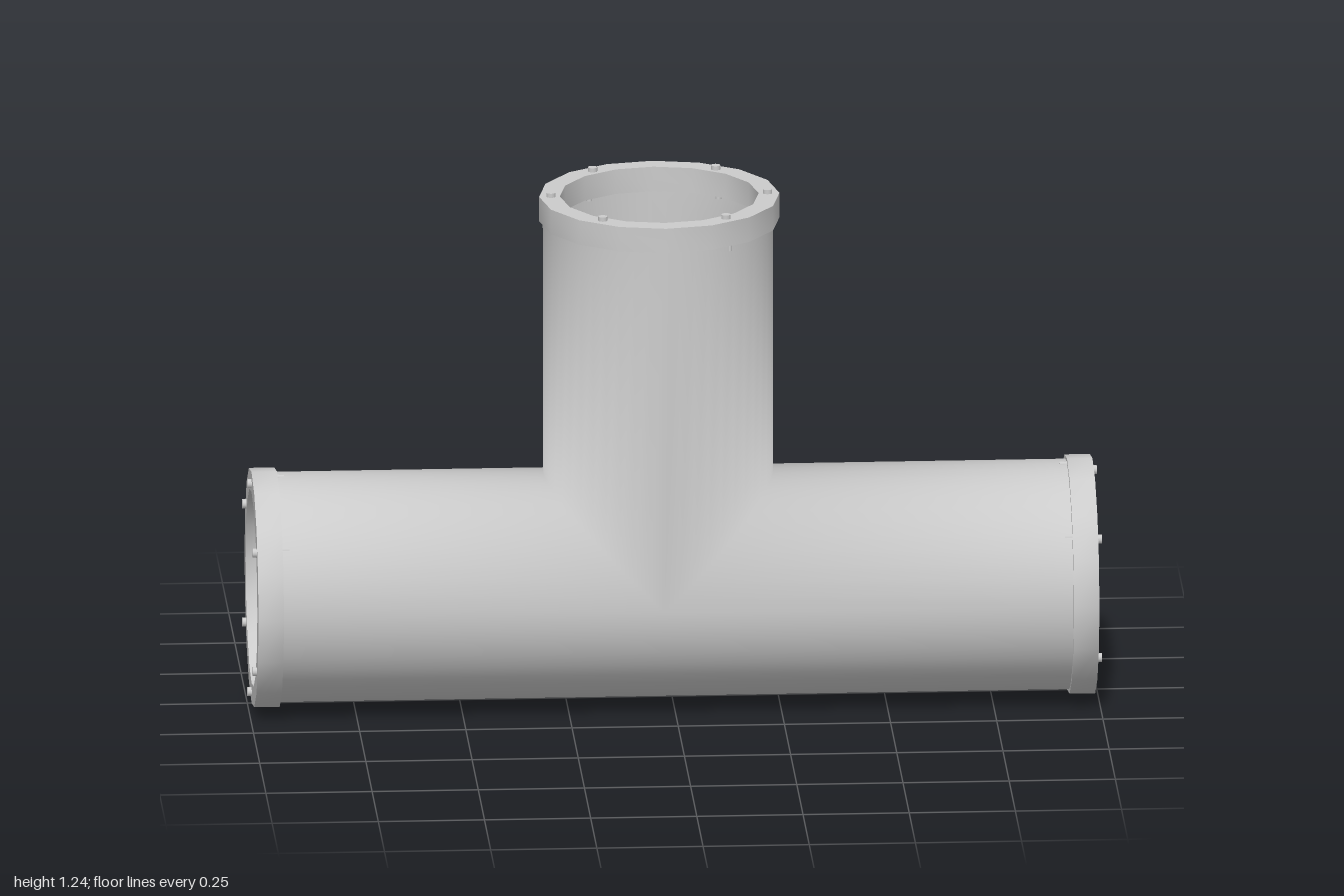
import * as THREE from 'three';
import { mergeVertices, toCreasedNormals } from 'three/addons/utils/BufferGeometryUtils.js';

const R = 0.271;                          // pipe radius
const CX = -0.033, CY = 0.283, CZ = -0.005; // pipe axes
const END = 0.99, TOP = 1.23, THICK = 0.06; // flange faces and thickness
const material = new THREE.MeshStandardMaterial({ color: 0xcccccc });
const thinMaterial = new THREE.MeshStandardMaterial({ color: 0xcccccc, side: THREE.DoubleSide });

// Thin tee shell: three legs trimmed to their mitre curves and welded smooth
function teeShell() {
  const N = 48, pos = [];
  const strip = (from, to) => {
    for (let i = 0; i < N; i++) {
      const s = (i / N) * Math.PI * 2, t = (((i + 1) % N) / N) * Math.PI * 2;
      const a = from(s), b = from(t), c = to(t), d = to(s);
      pos.push(...a, ...b, ...c, ...a, ...c, ...d);
    }
  };
  const along = (xAt) => (t) => [xAt(t), CY + R * Math.cos(t), CZ + R * Math.sin(t)];
  const up = (yAt) => (t) => [CX + R * Math.cos(t), yAt(t), CZ + R * Math.sin(t)];
  const gap = (t) => Math.max(0, R * Math.cos(t)); // half width of the branch opening
  const reach = END - THICK + 0.01;
  strip(along(() => -reach), along((t) => CX - gap(t)));
  strip(along((t) => CX + gap(t)), along(() => reach));
  strip(up(() => TOP - THICK + 0.01), up((t) => CY + R * Math.abs(Math.cos(t))));

  const geo = new THREE.BufferGeometry();
  geo.setAttribute('position', new THREE.Float32BufferAttribute(pos, 3));
  const welded = mergeVertices(geo);
  welded.computeVertexNormals();
  return welded;
}

// Sixteen-sided ring, standing from y = 0 to THICK
function ringGeometry() {
  const polygon = (r) => Array.from({ length: 16 }, (_, i) => {
    const a = (i / 16) * Math.PI * 2;
    return new THREE.Vector2(r * Math.cos(a), r * Math.sin(a));
  });
  const shape = new THREE.Shape(polygon(0.283));
  shape.holes.push(new THREE.Path(polygon(0.234)));
  const geo = new THREE.ExtrudeGeometry(shape, { depth: THICK, bevelEnabled: false });
  geo.rotateX(-Math.PI / 2);
  return toCreasedNormals(geo, 0.6);
}

const BOLTS = [[0.255, 0], [-0.255, 0], [0.145, 0.205], [0.145, -0.205], [-0.145, 0.205], [-0.145, -0.205]];

// Flange with bolt heads outside and shank ends behind; its local +y points outward
function makeFlange(name, ring) {
  const group = new THREE.Group();
  group.name = name;
  const add = (part, geo, x, y, z) => {
    const mesh = new THREE.Mesh(geo, material);
    mesh.name = part;
    mesh.position.set(x, y, z);
    group.add(mesh);
  };
  add('flangeRing', ring, 0, 0, 0);
  const head = new THREE.CylinderGeometry(0.011, 0.011, 0.02, 12);
  const shank = new THREE.CylinderGeometry(0.007, 0.007, 0.03, 10);
  for (const [x, z] of BOLTS) {
    add('boltHead', head, x, THICK, z);
    add('boltShank', shank, x * 1.05, -0.002, z * 1.05 - 0.005);
  }
  return group;
}

export function createModel() {
  const model = new THREE.Group();
  model.name = 'pipeTee';

  const shell = new THREE.Mesh(teeShell(), thinMaterial);
  shell.name = 'teePipe';
  model.add(shell);

  const ring = ringGeometry();
  const topFlange = makeFlange('topFlange', ring);
  topFlange.position.set(-0.03, TOP - THICK, 0);
  model.add(topFlange);

  // End flanges, one on each side of the main pipe
  for (const side of [1, -1]) {
    const flange = makeFlange(side > 0 ? 'leftFlange' : 'rightFlange', ring);
    flange.rotation.z = -side * Math.PI / 2;
    flange.position.set(side * (END - THICK), 0.284, 0);
    model.add(flange);
  }
  return model;
}
